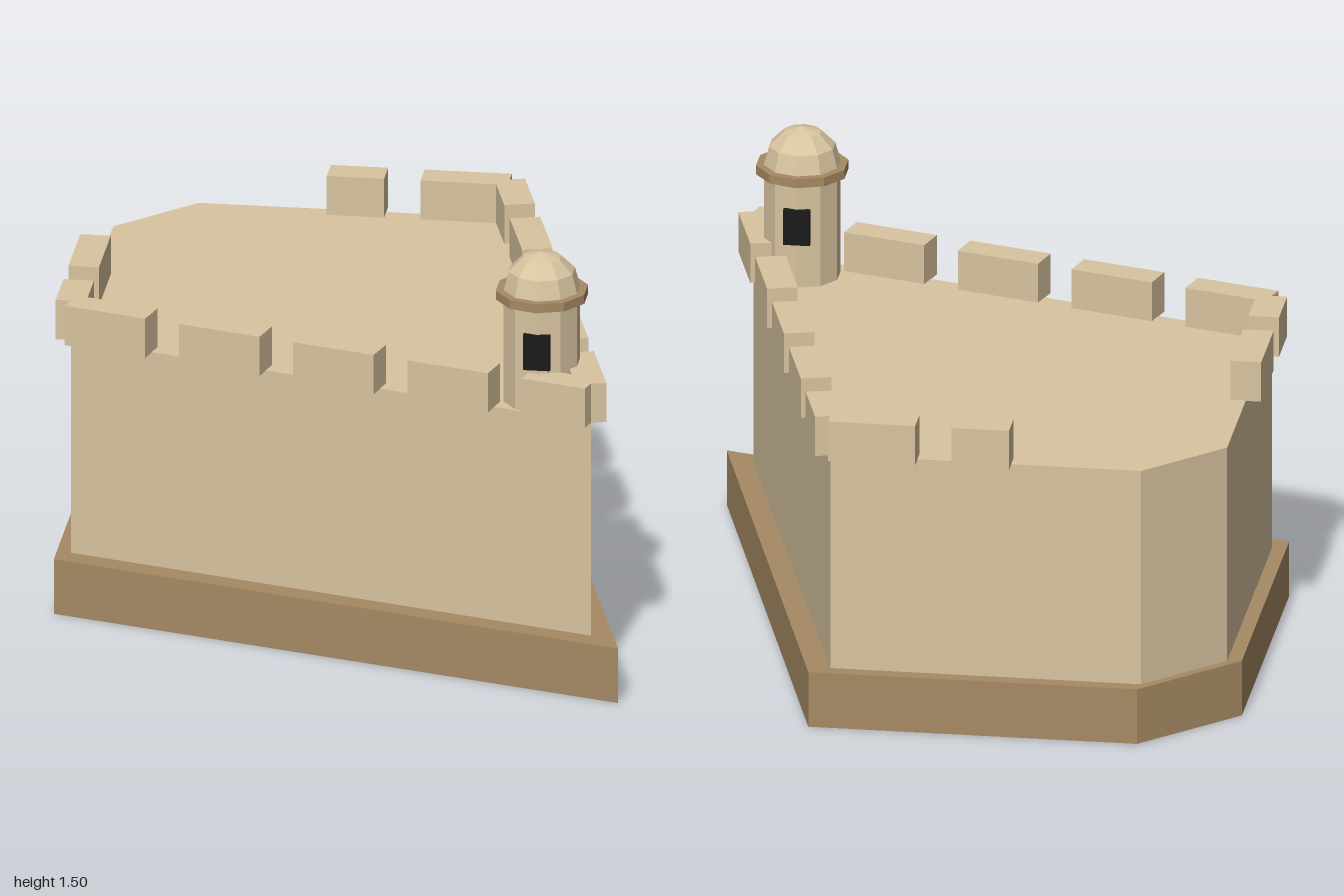
import * as THREE from 'three';

const flat = (name, color) => {
  const m = new THREE.MeshStandardMaterial({ color, flatShading: true });
  m.name = name;
  return m;
};

// Vertical prism from a plan outline of [x, z] points
function prism(points, y0, y1) {
  const shape = new THREE.Shape(points.map(([x, z]) => new THREE.Vector2(x, -z)));
  const geo = new THREE.ExtrudeGeometry(shape, { depth: y1 - y0, bevelEnabled: false });
  return geo.rotateX(-Math.PI / 2).translate(0, y0, 0);
}

export function createModel() {
  const stone = flat('sandstone', 0xd8c4a0);
  const brown = flat('brown stone', 0xa68a64);
  const dark = flat('dark opening', 0x1a1a1a);

  const model = new THREE.Group();
  model.name = 'bastion';
  const add = (parent, name, geo, mat, x = 0, y = 0, z = 0) => {
    const mesh = new THREE.Mesh(geo, mat);
    mesh.name = name;
    mesh.position.set(x, y, z);
    parent.add(mesh);
    return mesh;
  };

  // Plinth and wall body: arrow-shaped plans, mirrored about the diagonal
  const plan = (back, chamfer, corner, tip) => [
    [back, chamfer], [back, corner], [tip, tip], [corner, back], [chamfer, back],
  ];
  add(model, 'plinth', prism(plan(-0.995, -0.683, 0.435, 1), 0, 0.197), brown);
  add(model, 'wallBody', prism(plan(-0.946, -0.69, 0.367, 0.893), 0.197, 0.968), stone);

  // Battlements: blocks at a fixed pitch, the last one cut at the end of its run
  const battlements = new THREE.Group();
  battlements.name = 'battlements';
  model.add(battlements);
  const runs = [
    [-0.946, -0.248, -0.946, 0.367],
    [-0.946, 0.367, 0.893, 0.893],
    [0.893, 0.893, 0.367, -0.946],
    [0.367, -0.946, -0.248, -0.946],
  ];
  const blockLength = 0.296, pitch = 0.42, y0 = 0.966, y1 = 1.108;
  for (const [ax, az, bx, bz] of runs) {
    const length = Math.hypot(bx - ax, bz - az);
    const ux = (bx - ax) / length, uz = (bz - az) / length;
    for (let t = 0; t < length; t += pitch) {
      const end = Math.min(t + blockLength, length);
      const mid = (t + end) / 2;
      const block = add(battlements, 'merlon', new THREE.BoxGeometry(end - t, y1 - y0, 0.104),
        stone, ax + ux * mid, (y0 + y1) / 2, az + uz * mid);
      block.rotation.y = Math.atan2(-uz, ux);
    }
  }

  // Ten-sided sentry turret near the tip
  const turret = new THREE.Group();
  turret.name = 'sentryTurret';
  turret.position.set(0.7, 0, 0.7);
  model.add(turret);
  add(turret, 'turretBody', new THREE.CylinderGeometry(0.131, 0.131, 0.39, 10), stone, 0, 1.155, 0);
  add(turret, 'cornice', new THREE.CylinderGeometry(0.158, 0.158, 0.032, 10), brown, 0, 1.354, 0);
  const dome = new THREE.SphereGeometry(0.131, 10, 3, 0, Math.PI * 2, 0, Math.PI / 2);
  add(turret, 'dome', dome.rotateY(Math.PI / 2), stone, 0, 1.37, 0);
  for (const side of [1, -1]) {
    add(turret, 'window', new THREE.BoxGeometry(0.091, 0.125, 0.022), dark, 0, 1.187, side * 0.131);
  }
  return model;
}
